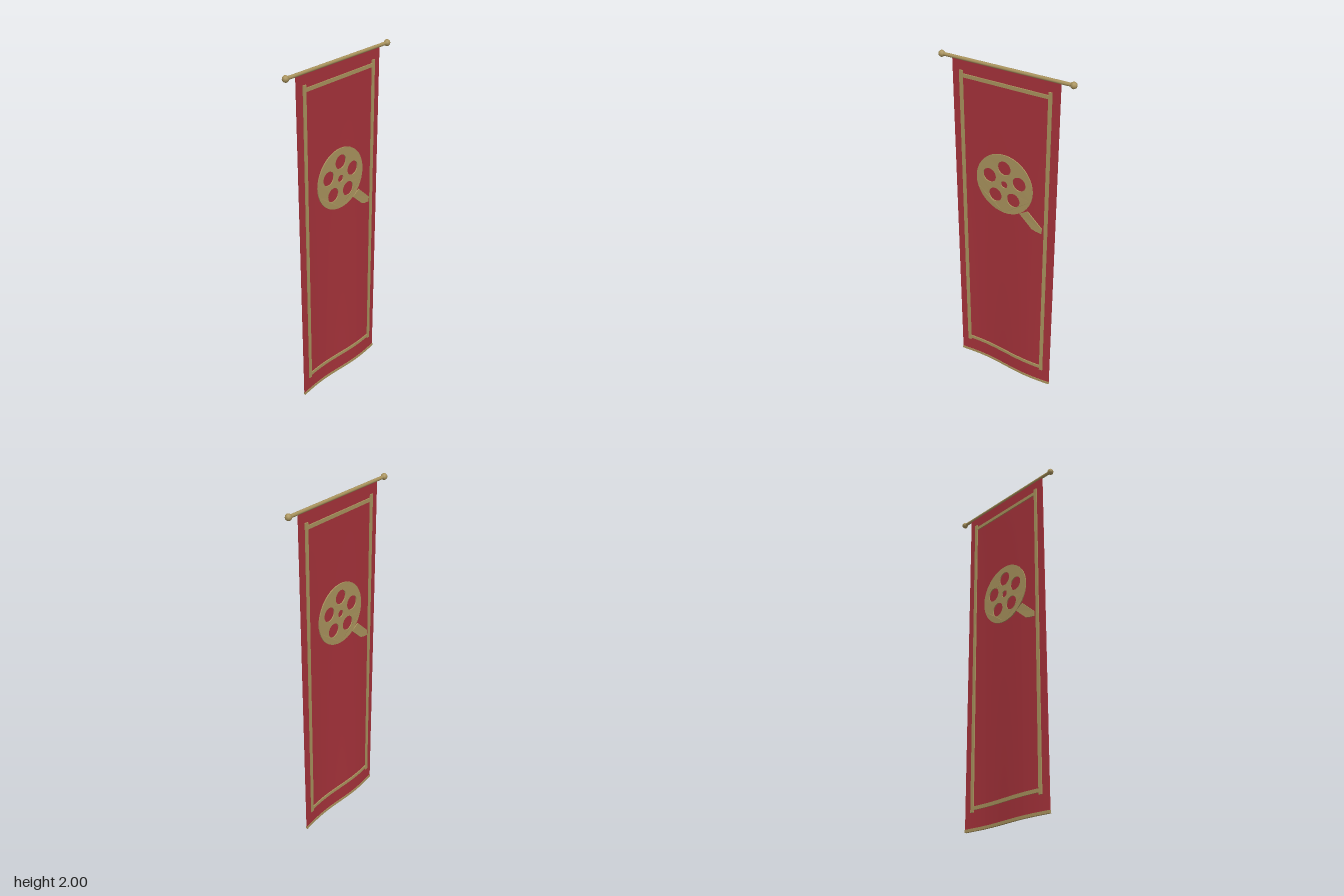
import * as THREE from 'three';

const TOP = 1.975;
const red = new THREE.MeshStandardMaterial({ color: 0xa5323a });
const gold = new THREE.MeshStandardMaterial({ color: 0xa8925c });

// Gentle ripple of the cloth, growing towards the hem
const ripple = (x, y) => 0.01 * Math.max(0, 1 - y / TOP) * Math.sin((x / 0.315) * Math.PI);

// Push every vertex along z so the part follows the cloth
function drape(geometry) {
  const p = geometry.attributes.position;
  for (let i = 0; i < p.count; i++) p.setZ(i, p.getZ(i) + ripple(p.getX(i), p.getY(i)));
  geometry.computeVertexNormals();
  return geometry;
}

function add(parent, name, geometry, material) {
  const mesh = new THREE.Mesh(geometry, material);
  mesh.name = name;
  parent.add(mesh);
  return mesh;
}

function strip(w, h, d, x, y, z) {
  const g = new THREE.BoxGeometry(w, h, d, w > h ? 32 : 1, h > w ? 24 : 1, 1);
  return drape(g.translate(x, y, z));
}

function circle(x, y, r, Type) {
  return new Type().absarc(x, y, r, 0, Math.PI * 2, Type === THREE.Path);
}

// Trim and emblem for one face of the cloth
function createDecoration() {
  const side = new THREE.Group();
  const z = 0.006;
  for (const s of [-1, 1]) {
    add(side, 'sideTrim', strip(0.02, 1.82, 0.007, s * 0.262, 1.01, z), gold);
  }
  for (const y of [0.122, 1.893]) {
    add(side, 'crossTrim', strip(0.51, 0.02, 0.006, 0, y, z), gold);
  }

  // Reel disc with a centre hole and five round openings
  const cy = 1.325;
  const disc = circle(0, cy, 0.178, THREE.Shape);
  disc.holes.push(circle(0, cy, 0.021, THREE.Path));
  for (let i = 0; i < 5; i++) {
    const a = Math.PI / 2 + (i * Math.PI * 2) / 5;
    disc.holes.push(circle(Math.cos(a) * 0.099, cy + Math.sin(a) * 0.099, 0.041, THREE.Path));
  }
  const tail = new THREE.Shape([
    [0.1, 1.175], [0.178, 1.104], [0.205, 1.096], [0.237, 1.092], [0.24, 1.122], [0.15, 1.205],
  ].map(([x, y]) => new THREE.Vector2(x, y)));
  const options = { depth: 0.006, bevelEnabled: false, curveSegments: 20 };
  for (const [name, shape] of [['reelDisc', disc], ['reelTail', tail]]) {
    add(side, name, drape(new THREE.ExtrudeGeometry(shape, options).translate(0, 0, 0.004)), gold);
  }
  return side;
}

export function createModel() {
  const banner = new THREE.Group();
  banner.name = 'banner';

  // Cloth
  const cloth = new THREE.BoxGeometry(0.63, TOP - 0.008, 0.006, 32, 24, 1);
  add(banner, 'cloth', drape(cloth.translate(0, (TOP + 0.008) / 2, 0)), red);

  // Hem along the bottom edge
  add(banner, 'hem', strip(0.632, 0.016, 0.012, 0, 0.008, 0), gold);

  // The same decoration on both faces, turned half round for the back
  const front = createDecoration();
  front.name = 'frontDecoration';
  const back = createDecoration();
  back.name = 'backDecoration';
  back.rotation.y = Math.PI;
  banner.add(front, back);

  // Hanging rod with ball ends
  const rod = add(banner, 'rod', new THREE.CylinderGeometry(0.0095, 0.0095, 0.76, 12), gold);
  rod.rotation.z = Math.PI / 2;
  rod.position.y = 1.982;
  for (const s of [-1, 1]) {
    const ball = add(banner, 'rodEnd', new THREE.SphereGeometry(0.018, 10, 8), gold);
    ball.position.set(s * 0.382, 1.982, 0);
  }
  return banner;
}
